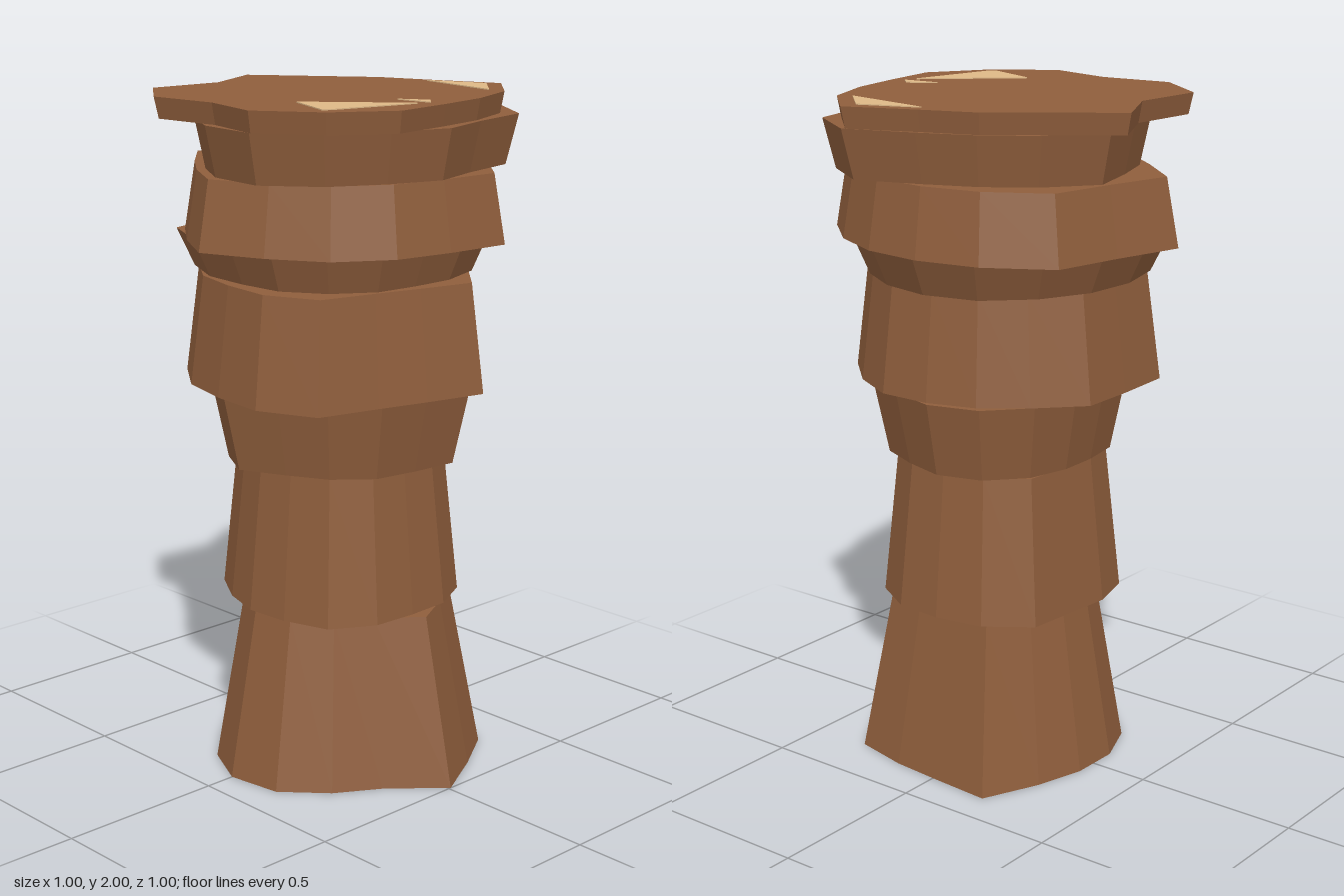
import * as THREE from 'three';

const SIDES = 15;
const CENTRE_X = 0.035;

// Upright prism on a shape drawn in x and -z; it widens from s0 at its foot to s1 at its head about the pillar's axis
function prism(shape, y0, y1, s0 = 1, s1 = 1) {
  const geo = new THREE.ExtrudeGeometry(shape, { depth: y1 - y0, bevelEnabled: false });
  geo.rotateX(-Math.PI / 2).translate(0, y0, 0);
  const p = geo.attributes.position;
  for (let i = 0; i < p.count; i++) {
    const s = THREE.MathUtils.mapLinear(p.getY(i), y0, y1, s0, s1);
    p.setX(i, CENTRE_X + (p.getX(i) - CENTRE_X) * s);
    p.setZ(i, p.getZ(i) * s);
  }
  geo.computeVertexNormals();
  return geo;
}

// Fifteen-sided outline with one radius per corner, in hundredths, turning from +x towards +z
function rockOutline(turn, radii) {
  return new THREE.Shape(radii.map((r, i) => {
    const a = THREE.MathUtils.degToRad(turn) + (i / SIDES) * Math.PI * 2;
    return new THREE.Vector2(CENTRE_X + (r / 100) * Math.cos(a), (-r / 100) * Math.sin(a));
  }));
}

export function createModel() {
  const rock = new THREE.MeshStandardMaterial({ color: 0x8f5e3c });
  rock.name = 'brownRock';
  const sand = new THREE.MeshStandardMaterial({ color: 0xdeb887 });
  sand.name = 'paleSand';

  const model = new THREE.Group();
  model.name = 'rockPillar';
  const add = (name, geo, mat) => {
    const mesh = new THREE.Mesh(geo, mat);
    mesh.name = name;
    model.add(mesh);
  };

  // Stacked rock layers, each set on the one before and turned a few degrees
  let y = 0;
  const layer = (name, top, s0, s1, turn, radii) => {
    add(name, prism(rockOutline(turn, radii), y, top, s0, s1), rock);
    y = top;
  };
  layer('baseRock', 0.505, 1, 0.77, -1, [46.5, 36, 37, 40.5, 41, 38.5, 37.5, 36.5, 36, 38, 45.5, 38, 38, 43, 41.5]);
  layer('lowerRock', 0.94, 1, 0.87, 1, [31.5, 34, 36, 33, 32.7, 33, 36, 34, 33, 38.5, 37, 35, 35.5, 35.5, 33.5]);
  layer('waistRock', 1.16, 0.88, 1, 1, [36, 37, 36, 35.5, 41, 38, 37, 33.5, 34, 37, 39, 38.5, 36, 38, 40.5]);
  layer('middleRock', 1.48, 1, 0.91, 3, [38, 38, 46.5, 45, 42, 44, 47, 41, 42, 37, 36.5, 37, 39.5, 41, 45.3]);
  layer('neckRock', 1.59, 0.89, 1, 1, [35, 37, 38, 39, 38.5, 43, 49, 46, 45, 45, 46, 44.5, 43, 43, 38]);
  layer('upperRock', 1.79, 1, 0.93, -1, [43.5, 44, 45, 45, 49.8, 45, 46, 55, 49, 53.5, 48.5, 45.5, 45, 46, 49.7]);
  layer('rimRock', 1.935, 0.93, 1, 1, [44.5, 43, 46, 49.5, 46, 42, 43, 42, 47.5, 43, 41, 42.5, 52, 51, 42.5]);
  layer('capSlab', 1.997, 0.975, 1, 0, [41.5, 48.3, 49.6, 51.4, 44.2, 53.5, 55, 43.7, 54.4, 43, 41.5, 42, 52.5, 46.8, 42]);

  // Thin pale flakes lying on the cap, as [x, z] corners
  const flakes = [
    [[0.005, -0.385], [0.185, -0.45], [0.3, -0.335]],
    [[0.29, 0.025], [0.37, -0.022], [0.405, 0.012]],
    [[0.15, 0.275], [0.395, 0.055], [0.34, 0.325], [0.325, 0.345]],
  ];
  flakes.forEach((corners, i) => {
    const shape = new THREE.Shape(corners.map(([x, z]) => new THREE.Vector2(x, -z)));
    add('sandFlake' + (i + 1), prism(shape, 1.995, 2), sand);
  });

  return model;
}
